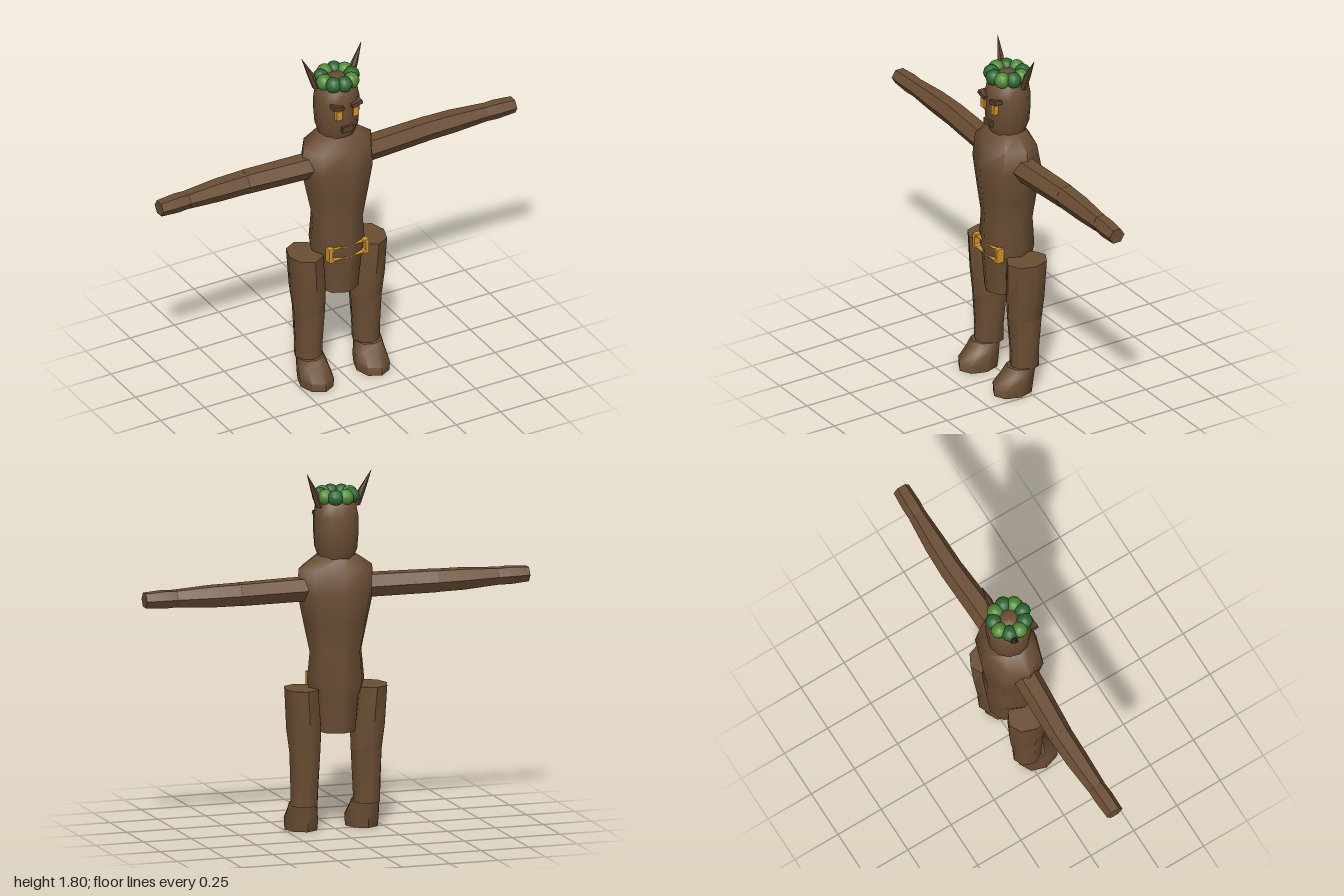
import * as THREE from 'three';
import { toCreasedNormals } from 'three/addons/utils/BufferGeometryUtils.js';

const paint = (name, color) => {
  const m = new THREE.MeshStandardMaterial({ color });
  m.name = name;
  return m;
};

// Closed skin through elliptical rings [y, centreX, centreZ, radiusX, radiusZ], listed upward
function loft(rings, sides, crease) {
  const pos = [], idx = [];
  for (const [y, cx, cz, rx, rz] of rings) {
    for (let i = 0; i < sides; i++) {
      const a = (i / sides) * Math.PI * 2;
      pos.push(cx + rx * Math.sin(a), y, cz + rz * Math.cos(a));
    }
  }
  const last = rings.length - 1, base = rings.length * sides;
  for (const r of [rings[0], rings[last]]) pos.push(r[1], r[0], r[2]);
  for (let i = 0; i < sides; i++) {
    const j = (i + 1) % sides;
    for (let k = 0; k < last; k++) {
      const a = k * sides + i, b = k * sides + j;
      idx.push(a, b, b + sides, a, b + sides, a + sides);
    }
    idx.push(base, j, i, base + 1, last * sides + i, last * sides + j);
  }
  const g = new THREE.BufferGeometry();
  g.setAttribute('position', new THREE.Float32BufferAttribute(pos, 3));
  g.setIndex(idx);
  return toCreasedNormals(g, crease);
}

export function createModel() {
  const model = new THREE.Group();
  model.name = 'woodlandFigure';
  const bark = paint('bark brown', 0x6b4e34);
  const dark = paint('dark bark', 0x5a3f2a);
  const gold = paint('gold', 0xd2932a);
  const leaves = [paint('deep green', 0x2c6633), paint('leaf green', 0x4f8a34)];

  const add = (name, geometry, material, parent = model) => {
    const mesh = new THREE.Mesh(geometry, material);
    mesh.name = name;
    parent.add(mesh);
    return mesh;
  };

  // Torso and hips
  add('torso', loft([
    [0.5, 0, -0.005, 0.105, 0.115],
    [0.68, 0, -0.006, 0.125, 0.127],
    [0.75, 0, -0.007, 0.15, 0.133],
    [0.9, 0, -0.007, 0.135, 0.128],
    [1.05, 0, -0.007, 0.168, 0.143],
    [1.2, 0, -0.008, 0.2, 0.157],
    [1.32, 0, -0.004, 0.192, 0.133],
    [1.385, 0, -0.01, 0.1, 0.085],
  ], 8, 1.0), bark);

  // Head
  add('head', loft([
    [1.37, 0, -0.012, 0.09, 0.088],
    [1.42, 0, -0.012, 0.108, 0.107],
    [1.5, 0, -0.012, 0.114, 0.114],
    [1.58, 0, -0.012, 0.114, 0.112],
    [1.65, 0, -0.012, 0.1, 0.1],
    [1.69, 0, -0.012, 0.06, 0.06],
  ], 12, 1.0), bark);

  // Face
  add('mouth', new THREE.BoxGeometry(0.06, 0.032, 0.03), dark).position.set(0, 1.44, 0.093);
  for (const s of [1, -1]) {
    add('eye', new THREE.BoxGeometry(0.03, 0.05, 0.03), gold).position.set(s * 0.047, 1.528, 0.091);
    const brow = add('brow', new THREE.BoxGeometry(0.06, 0.02, 0.04), dark);
    brow.position.set(s * 0.052, 1.571, 0.09);
    brow.rotation.z = s * 0.22;
  }

  // Leafy crown
  const crown = new THREE.Group();
  crown.name = 'leafCrown';
  model.add(crown);
  const tufts = 9;
  for (let i = 0; i < tufts; i++) {
    const a = (i / tufts) * Math.PI * 2;
    const tuft = add('leafTuft', new THREE.SphereGeometry(0.041, 12, 8), leaves[i % 2], crown);
    tuft.position.set(0.078 * Math.sin(a), 1.68, -0.01 + 0.078 * Math.cos(a));
  }

  // Pointed horns, leaning outward
  for (const s of [1, -1]) {
    add('horn', loft([
      [1.63, s * 0.096, -0.043, 0.02, 0.018],
      [1.71, s * 0.124, -0.05, 0.018, 0.017],
      [1.805, s * 0.168, -0.061, 0.001, 0.001],
    ], 6, 0.3), dark);
  }

  // Arms: hexagonal segments built upright, then turned sideways
  const armParts = {
    upperArm: [[0.15, 0, -0.008, 0.064, 0.068], [0.25, 0, -0.012, 0.064, 0.066], [0.512, 0, -0.026, 0.062, 0.061]],
    forearm: [[0.512, 0, -0.026, 0.061, 0.06], [0.66, 0, -0.025, 0.059, 0.057], [0.84, 0, -0.02, 0.047, 0.046]],
    hand: [[0.84, 0, -0.02, 0.046, 0.045], [0.9, 0, -0.018, 0.049, 0.048], [1, 0, -0.015, 0.041, 0.044]],
  };
  for (const s of [1, -1]) {
    const arm = new THREE.Group();
    arm.name = s > 0 ? 'leftArm' : 'rightArm';
    arm.position.y = 1.218;
    arm.rotation.z = -s * Math.PI / 2;
    model.add(arm);
    for (const [name, rings] of Object.entries(armParts)) {
      add(name, loft(rings, 6, 0.3), bark, arm);
    }
  }

  // Legs and feet
  const legParts = {
    thigh: [[0.4, 0.16, -0.008, 0.081, 0.092], [0.52, 0.166, -0.009, 0.092, 0.101], [0.72, 0.18, -0.01, 0.088, 0.11]],
    shin: [[0.13, 0.163, -0.006, 0.07, 0.076], [0.22, 0.162, -0.006, 0.073, 0.075], [0.4, 0.16, -0.008, 0.081, 0.092]],
    foot: [[0, 0.158, 0.06, 0.084, 0.106], [0.045, 0.158, 0.058, 0.088, 0.11], [0.1, 0.161, 0.03, 0.08, 0.085], [0.14, 0.164, 0.013, 0.072, 0.074]],
  };
  for (const s of [1, -1]) {
    const leg = new THREE.Group();
    leg.name = s > 0 ? 'leftLeg' : 'rightLeg';
    model.add(leg);
    for (const [name, rings] of Object.entries(legParts)) {
      const sided = rings.map(([y, cx, ...rest]) => [y, s * cx, ...rest]);
      add(name, loft(sided, 8, 0.9), bark, leg);
    }
  }

  // Belt buckle: a frame sunk into the waist so mainly its ends show
  const frame = new THREE.Shape();
  frame.moveTo(-0.112, -0.038).lineTo(-0.085, -0.038).lineTo(-0.08, -0.034);
  frame.lineTo(0.08, -0.034).lineTo(0.085, -0.038).lineTo(0.112, -0.038);
  frame.lineTo(0.112, 0.038).lineTo(0.085, 0.038).lineTo(0.08, 0.034);
  frame.lineTo(-0.08, 0.034).lineTo(-0.085, 0.038).lineTo(-0.112, 0.038);
  const hole = new THREE.Path();
  hole.moveTo(-0.094, -0.02).lineTo(-0.085, -0.029).lineTo(0.085, -0.029).lineTo(0.094, -0.02);
  hole.lineTo(0.094, 0.02).lineTo(0.085, 0.029).lineTo(-0.085, 0.029).lineTo(-0.094, 0.02);
  frame.holes.push(hole);
  add('beltBuckle', new THREE.ExtrudeGeometry(frame, { depth: 0.04, bevelEnabled: false }), gold)
    .position.set(0, 0.74, 0.08);

  return model;
}
